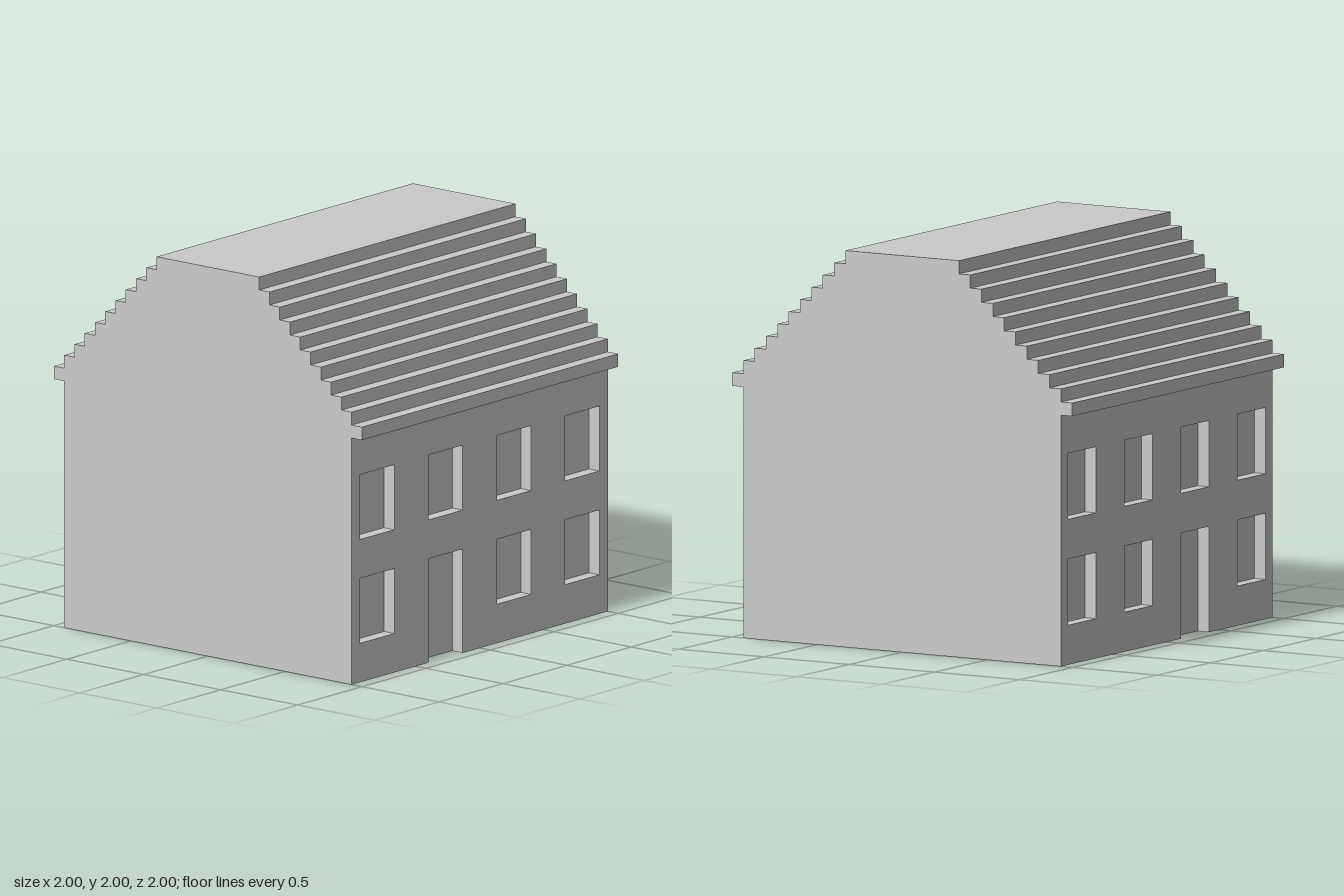
import * as THREE from 'three';

const U = 1 / 15;          // brick unit: every size is a multiple of it
const EAVES = 19 * U;      // top of the walls

export function createModel() {
  const house = new THREE.Group();
  house.name = 'house';
  const material = new THREE.MeshStandardMaterial({ color: 0xcccccc, flatShading: true });

  const add = (name, geometry) => {
    const mesh = new THREE.Mesh(geometry, material);
    mesh.name = name;
    house.add(mesh);
    return mesh;
  };

  // Solid body behind the recessed windows and doors
  add('body', new THREE.BoxGeometry(2, EAVES, 26 * U)).position.y = EAVES / 2;

  // Wall outline with a door notch at the bottom, in units
  const wall = new THREE.Shape(
    [[-15, 0], [-6, 0], [-6, 8], [-2, 8], [-2, 0], [15, 0], [15, 19], [-15, 19]]
      .map(([x, y]) => new THREE.Vector2(x * U, y * U)));

  // Two rows of windows; the door takes one place in the lower row
  for (const y of [3, 11]) {
    for (const x of [-14, -6, 2, 10]) {
      if (y === 3 && x === -6) continue;
      wall.holes.push(new THREE.Path(
        [[x, y], [x, y + 5], [x + 4, y + 5], [x + 4, y]]
          .map(([a, b]) => new THREE.Vector2(a * U, b * U))));
    }
  }

  // The same wall on both long sides, with openings at the same x
  const wallGeometry = new THREE.ExtrudeGeometry(wall, { depth: U, bevelEnabled: false });
  add('frontWall', wallGeometry).position.z = 13 * U;
  add('backWall', wallGeometry).position.z = -14 * U;

  // Stepped roof: half profile climbing inward, mirrored for the other slope
  const half = [];
  for (let i = 0; i < 11; i++) {
    half.push([15 - i, 19 + i], [15 - i, 20 + i]);
  }
  const outline = [...half, ...half.map(([z, y]) => [-z, y]).reverse()];
  const roofShape = new THREE.Shape(outline.map(([z, y]) => new THREE.Vector2(z * U, y * U)));
  const roof = new THREE.ExtrudeGeometry(roofShape, { depth: 2, bevelEnabled: false });
  roof.translate(0, 0, -1).rotateY(Math.PI / 2);
  add('steppedRoof', roof);

  return house;
}
